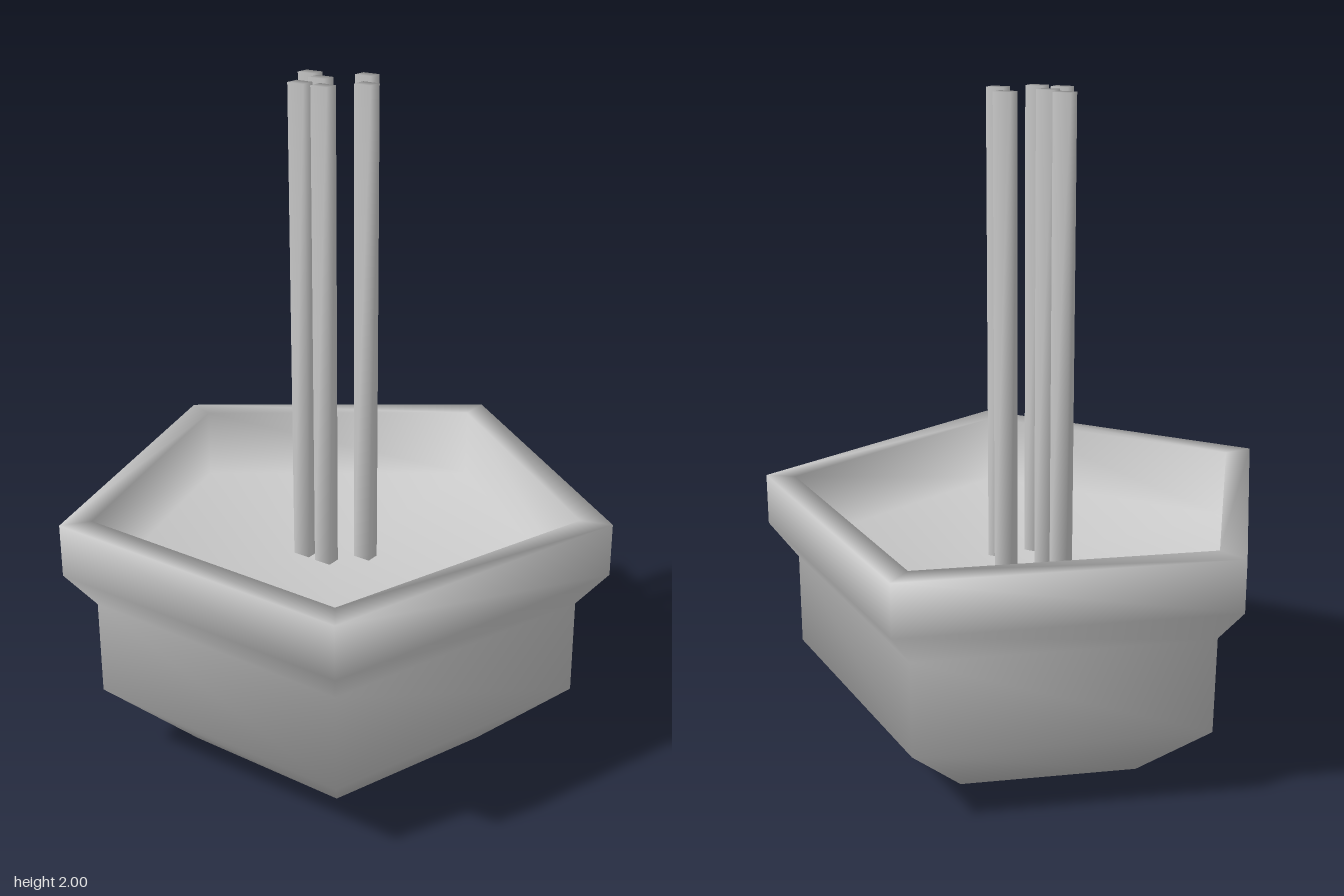
import * as THREE from 'three';
import { mergeVertices } from 'three/addons/utils/BufferGeometryUtils.js';

export function createModel() {
  const model = new THREE.Group();
  const material = new THREE.MeshStandardMaterial({ color: 0xcccccc });
  const soilY = 0.57;

  // Five-sided pot with flared rim, inner wall and soil, smoothly shaded
  const profile = [
    [0, 0], [0.455, 0], [0.736, 0.23], [0.736, 0.52], [0.83, 0.63],
    [0.83, 0.79], [0.736, 0.79], [0.736, soilY], [0, soilY],
  ].map(([r, y]) => new THREE.Vector2(r, y));
  const pot = new THREE.Mesh(new THREE.LatheGeometry(profile, 5, Math.PI / 2), material);
  pot.name = 'pot';
  pot.position.x = -0.08;
  model.add(pot);

  // Square stems standing in the soil, with softened (shared) normals
  const height = 2 - soilY + 0.01;
  const box = new THREE.BoxGeometry(0.042, height, 0.055);
  box.deleteAttribute('normal');
  box.deleteAttribute('uv');
  const stemGeometry = mergeVertices(box);
  stemGeometry.computeVertexNormals();

  const stems = new THREE.Group();
  stems.name = 'stems';
  const spots = [
    [0.012, -0.155], [-0.132, -0.08], [-0.038, -0.08],
    [-0.134, 0], [0.071, 0], [-0.043, 0.08],
  ];
  spots.forEach(([x, z], i) => {
    const stem = new THREE.Mesh(stemGeometry, material);
    stem.name = `stem${i + 1}`;
    stem.position.set(x, 2 - height / 2, z);
    stems.add(stem);
  });
  model.add(stems);

  return model;
}
